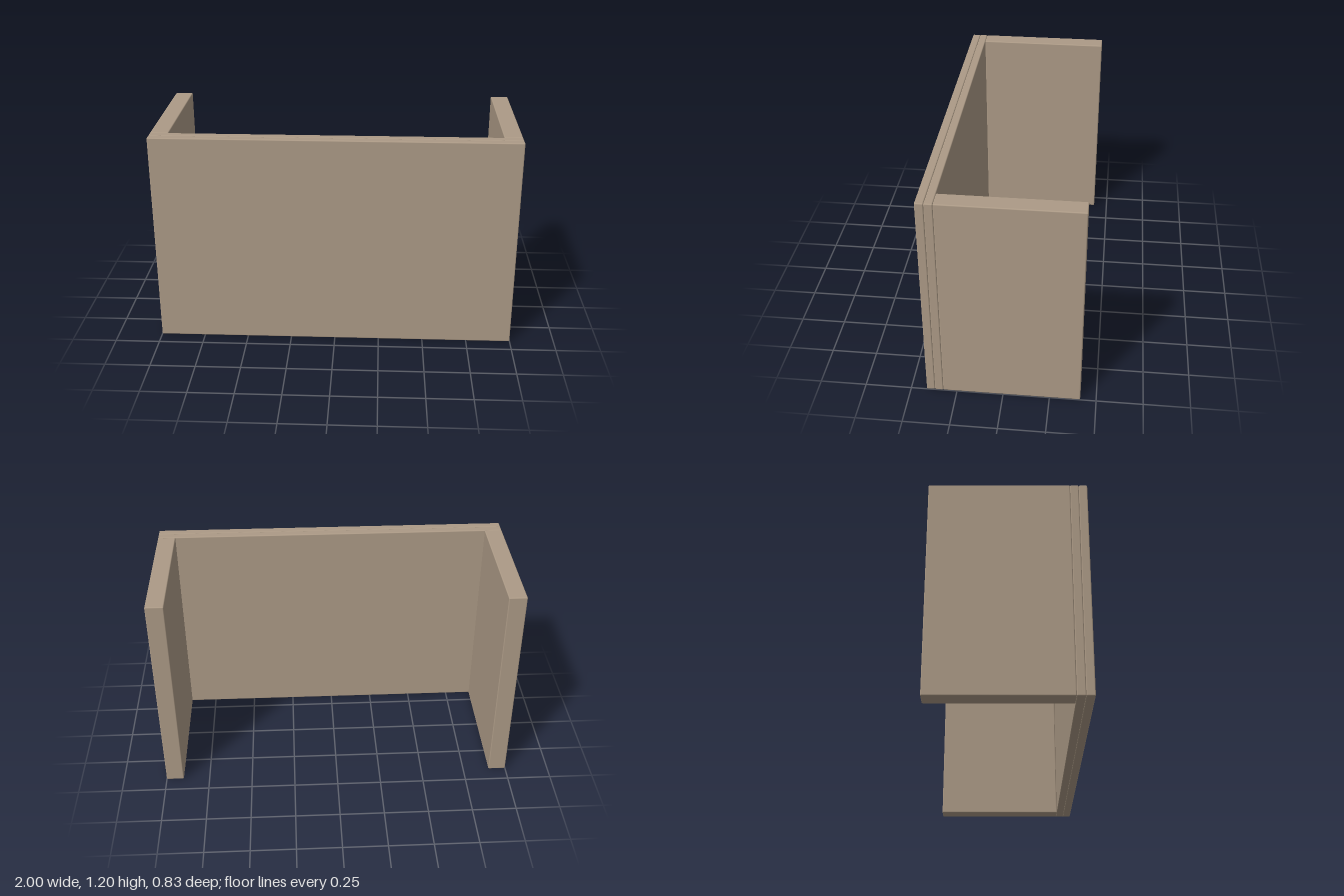
import * as THREE from 'three';
import { RoundedBoxGeometry } from 'three/addons/geometries/RoundedBoxGeometry.js';

const WIDTH = 2, HEIGHT = 1.2, DEPTH = 0.83;
const FRONT = 0.09;   // thickness of the front panel
const SIDE = 0.1;     // thickness of the side panels
const BEVEL = 0.006;

export function createModel() {
  const model = new THREE.Group();
  model.name = 'receptionCounter';
  const material = new THREE.MeshStandardMaterial({ color: 0xac9a86 });

  const addBoard = (name, w, h, d, x, z) => {
    const board = new THREE.Mesh(new RoundedBoxGeometry(w, h, d, 2, BEVEL), material);
    board.name = name;
    board.position.set(x, HEIGHT / 2, z);
    model.add(board);
  };

  // Front panel: two layers with a fine seam around the edge
  const layer = FRONT / 2;
  addBoard('frontFacing', WIDTH, HEIGHT, layer, 0, DEPTH / 2 - layer / 2);
  addBoard('frontBacking', WIDTH, HEIGHT, layer, 0, DEPTH / 2 - layer * 1.5);

  // Side panels running back from the front panel
  const sideDepth = DEPTH - FRONT;
  for (const [name, s] of [['leftSidePanel', 1], ['rightSidePanel', -1]]) {
    addBoard(name, SIDE, HEIGHT, sideDepth, s * (WIDTH - SIDE) / 2, -FRONT / 2);
  }
  return model;
}
